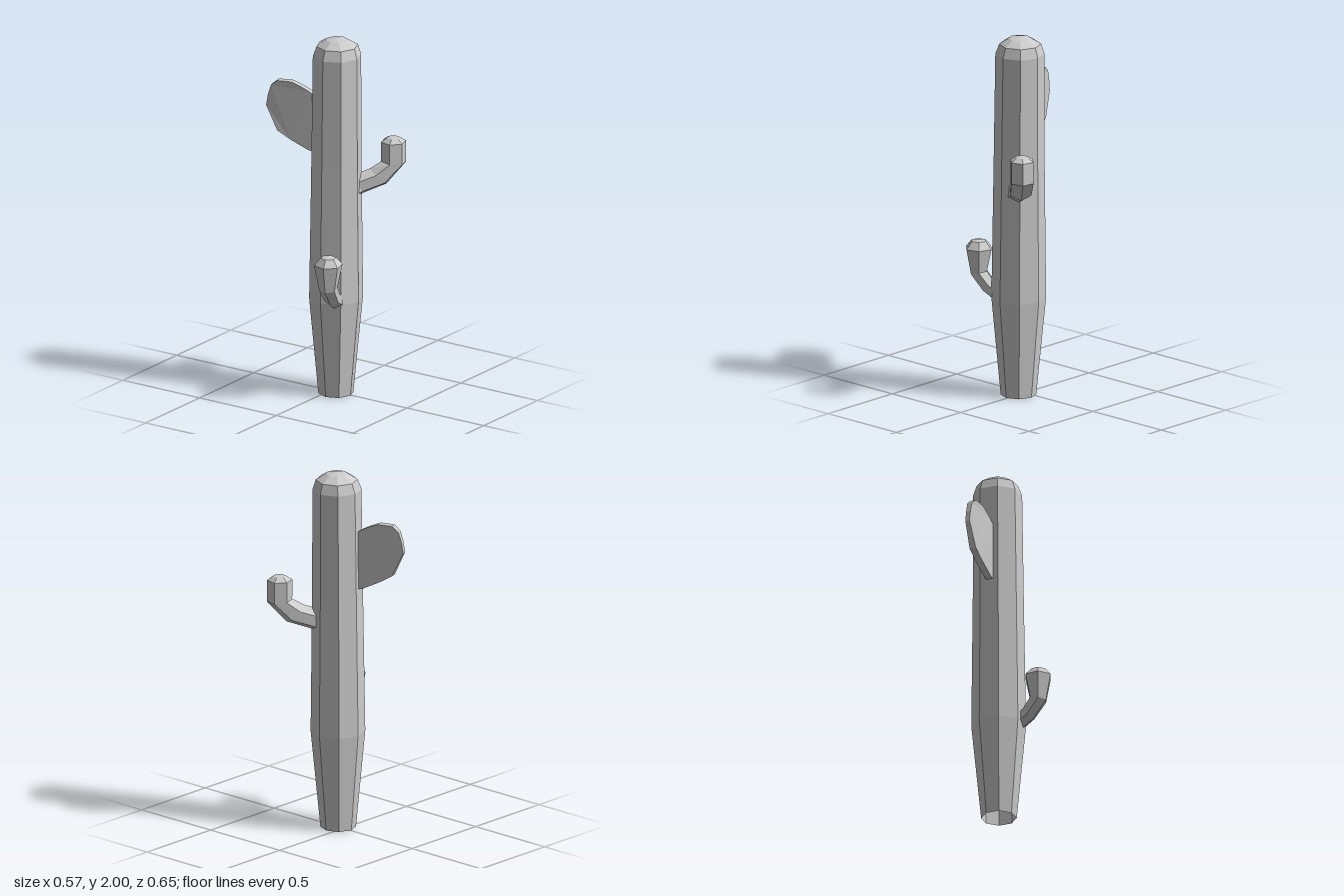
import * as THREE from 'three';

const rad = THREE.MathUtils.degToRad;
const material = new THREE.MeshStandardMaterial({ color: 0xcccccc, flatShading: true, side: THREE.DoubleSide });

// Skin a chain of polygon rings: [centre, radius, first axis, second axis]
function loft(rings, sides) {
  const pos = [], index = [];
  for (const { c, r, u, w } of rings) {
    for (let j = 0; j < sides; j++) {
      const a = (j / sides) * Math.PI * 2;
      const p = c.clone().addScaledVector(u, r * Math.cos(a)).addScaledVector(w, r * Math.sin(a));
      pos.push(p.x, p.y, p.z);
    }
  }
  for (let i = 0; i < rings.length - 1; i++) {
    for (let j = 0; j < sides; j++) {
      const k = (j + 1) % sides;
      const a = i * sides + j, b = i * sides + k, c = a + sides, d = b + sides;
      index.push(a, c, b);
      if (rings[i + 1].r > 0.002) index.push(b, c, d);
    }
  }
  const g = new THREE.BufferGeometry();
  g.setAttribute('position', new THREE.Float32BufferAttribute(pos, 3));
  g.setIndex(index);
  const flat = g.toNonIndexed();
  flat.computeVertexNormals();
  return flat;
}

// Six-sided arm; rows are [distance outward from the tip axis, height, radius, climb in degrees]
function makeArm(name, rows, x, z, turn) {
  const w = new THREE.Vector3(0, 0, 1);
  const rings = rows.map(([s, y, r, climb]) => ({
    c: new THREE.Vector3(s, y, 0), r, w,
    u: new THREE.Vector3(Math.sin(rad(climb)), -Math.cos(rad(climb)), 0),
  }));
  const arm = new THREE.Mesh(loft(rings, 6), material);
  arm.name = name;
  arm.position.set(x, 0, z);
  arm.rotation.y = rad(turn);
  return arm;
}

export function createModel() {
  const model = new THREE.Group();
  model.name = 'cactus';

  // Eight-sided trunk, open underneath: [height, radius, x of centre]
  const profile = [
    [0, 0.095, -0.007], [0.54, 0.146, -0.005], [1.3, 0.136, -0.002], [1.9, 0.131, 0.003],
    [1.955, 0.112, 0.005], [1.987, 0.06, 0.003], [2, 0, 0.002],
  ];
  const trunk = new THREE.Mesh(loft(profile.map(([y, r, x]) => ({
    c: new THREE.Vector3(x, y, 0.042), r,
    u: new THREE.Vector3(1, 0, 0), w: new THREE.Vector3(0, 0, 1),
  })), 8), material);
  trunk.name = 'trunk';
  model.add(trunk);

  // Upper arm, at the front on the model's left
  model.add(makeArm('upperArm', [
    [-0.28, 1.15, 0.09, 15], [-0.197, 1.168, 0.06, 32], [-0.085, 1.205, 0.065, 45],
    [0, 1.28, 0.068, 85], [0, 1.395, 0.068, 90], [0, 1.416, 0.036, 90], [0, 1.42, 0, 90],
  ], 0.221, 0.257, -42));

  // Lower arm, flaring upward on the model's right
  model.add(makeArm('lowerArm', [
    [-0.14, 0.55, 0.05, 30], [-0.062, 0.588, 0.045, 40], [0, 0.66, 0.05, 78],
    [0, 0.795, 0.077, 90], [0, 0.835, 0.042, 90], [0, 0.842, 0, 90],
  ], -0.21, 0.135, 195));

  // Flat paddle growing out of the back, thinning toward its tip
  const outline = [
    [0.05, 1.35], [0.1, 1.36], [0.2, 1.41], [0.274, 1.455], [0.337, 1.59], [0.327, 1.65],
    [0.31, 1.705], [0.274, 1.735], [0.195, 1.735], [0.137, 1.712], [0.095, 1.69], [0.05, 1.66],
  ].map(([s, y]) => new THREE.Vector2(s, y));
  const depth = 0.038;
  const leaf = new THREE.ExtrudeGeometry(new THREE.Shape(outline), { depth, bevelEnabled: false });
  leaf.translate(0, 0, -depth / 2);
  const p = leaf.attributes.position;
  for (let i = 0; i < p.count; i++) {
    const thin = THREE.MathUtils.smoothstep(p.getX(i), 0.26, 0.34);
    p.setZ(i, p.getZ(i) * (1 - 0.35 * thin));
  }
  leaf.computeVertexNormals();
  const paddle = new THREE.Mesh(leaf, material);
  paddle.name = 'paddle';
  paddle.position.x = -0.027;
  paddle.rotation.y = Math.atan2(0.95, -0.315);
  model.add(paddle);

  return model;
}
